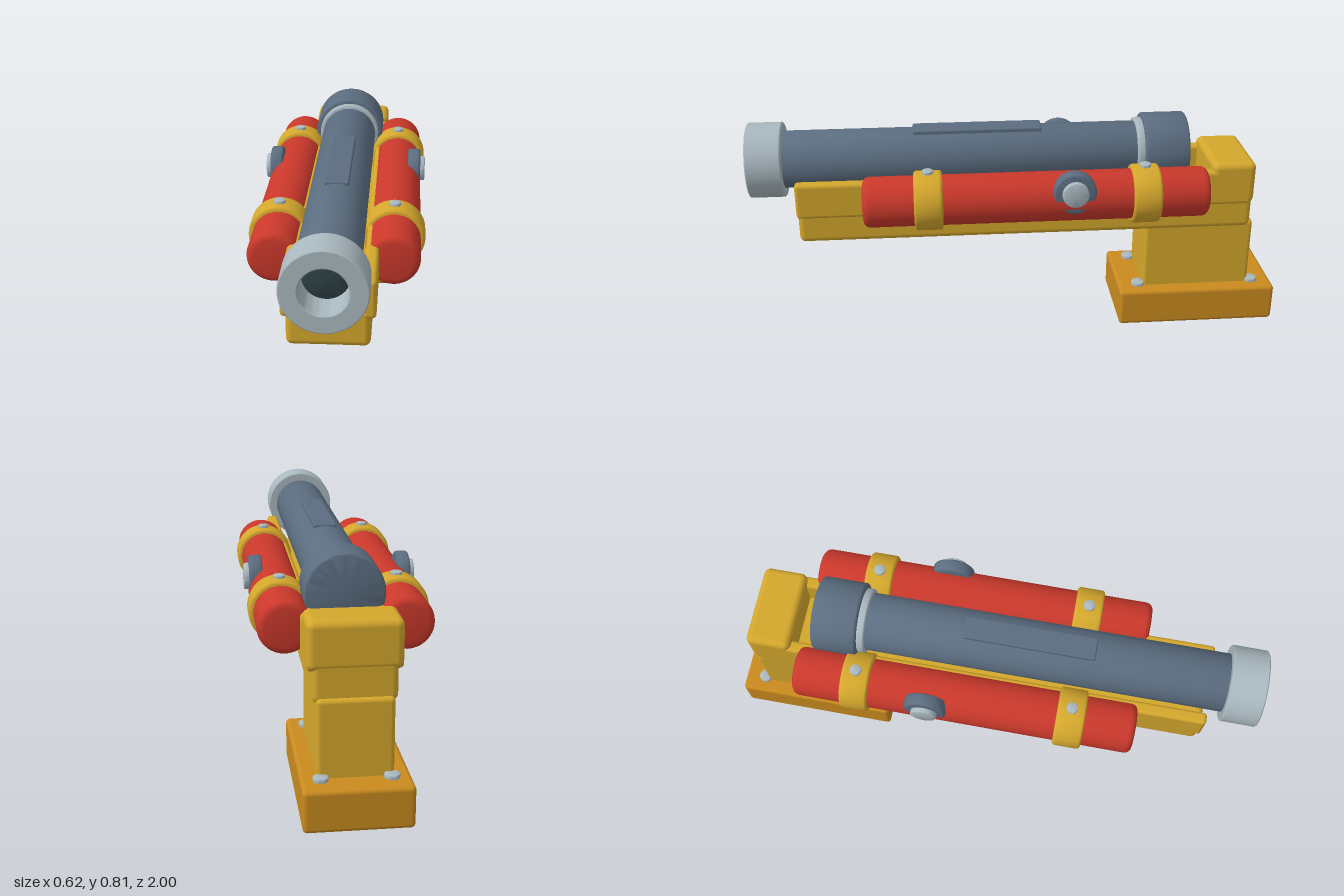
import * as THREE from 'three';
import { toCreasedNormals } from 'three/addons/utils/BufferGeometryUtils.js';
import { RoundedBoxGeometry } from 'three/addons/geometries/RoundedBoxGeometry.js';

const material = (name, color) => {
  const m = new THREE.MeshStandardMaterial({ color });
  m.name = name;
  return m;
};

export function createModel() {
  const yellow = material('yellow paint', 0xd4a72c);
  const orange = material('orange paint', 0xc98a1e);
  const red = material('red paint', 0xca382b);
  const steel = material('blue steel', 0x5b6d80);
  const silver = material('light metal', 0xa9b8bf);
  const dark = material('dark bore', 0x2f4347);

  const model = new THREE.Group();
  model.name = 'cannon';

  const add = (name, geometry, mat, x = 0, y = 0, z = 0) => {
    const mesh = new THREE.Mesh(geometry, mat);
    mesh.name = name;
    mesh.position.set(x, y, z);
    model.add(mesh);
    return mesh;
  };

  // Rounded box given by its limits on each axis
  const block = (name, mat, [x0, x1], [y0, y1], [z0, z1], radius) =>
    add(name, new RoundedBoxGeometry(x1 - x0, y1 - y0, z1 - z0, 3, radius), mat,
      (x0 + x1) / 2, (y0 + y1) / 2, (z0 + z1) / 2);

  const lathe = (points, segments = 48) =>
    toCreasedNormals(new THREE.LatheGeometry(points.map(([r, h]) => new THREE.Vector2(r, h)), segments), 0.6);

  // Solid round part from height 0 to h with rounded rims
  const round = (r, h, bevel, segments) => {
    const points = [[0, 0]];
    for (let i = 0; i <= 4; i++) {
      const a = (i / 4) * Math.PI / 2;
      points.push([r - bevel + bevel * Math.sin(a), bevel - bevel * Math.cos(a)]);
    }
    for (let i = 0; i <= 4; i++) {
      const a = (i / 4) * Math.PI / 2;
      points.push([r - bevel + bevel * Math.cos(a), h - bevel + bevel * Math.sin(a)]);
    }
    points.push([0, h]);
    return lathe(points, segments);
  };

  // Round part lying along z
  const along = (name, mat, r, x, y, z0, z1, bevel) =>
    add(name, round(r, z1 - z0, bevel).rotateX(Math.PI / 2), mat, x, y, z0);

  // Foot, pillar and bed
  block('base', orange, [-0.18, 0.18], [0, 0.145], [-1, -0.39], 0.015);
  block('pillar', yellow, [-0.126, 0.126], [0.13, 0.41], [-0.905, -0.485], 0.015);
  block('bed', yellow, [-0.138, 0.138], [0.39, 0.53], [-0.89, 0.825], 0.022);
  block('rearBlock', yellow, [-0.155, 0.155], [0.495, 0.662], [-0.892, -0.725], 0.025);

  // Barrel, breech and muzzle
  const axisY = 0.675;
  along('barrel', steel, 0.107, 0, axisY, -0.5, 0.88, 0.004);
  along('breechRing', silver, 0.12, 0, axisY, -0.48, -0.445, 0.006);
  along('breech', steel, 0.137, 0, axisY, -0.64, -0.472, 0.01);
  block('barrelPlate', steel, [-0.043, 0.043], [0.755, 0.788], [-0.09, 0.39], 0.006);
  add('muzzle', lathe([
    [0.078, 0], [0.136, 0], [0.14, 0.004], [0.14, 0.126], [0.136, 0.13],
    [0.082, 0.13], [0.078, 0.126], [0.078, 0],
  ], 64).rotateX(Math.PI / 2), silver, 0, axisY, 0.87);
  along('bore', dark, 0.077, 0, axisY, 0.87, 0.89, 0.002);

  for (const side of [-1, 1]) {
    const tubeX = side * 0.203, tubeY = 0.58;

    // Side rail
    block('rail', yellow, [side * 0.1325 - 0.0225, side * 0.1325 + 0.0225], [0.495, 0.632], [-0.88, 0.828], 0.014);

    // Red side tube with its clamps
    along('sideTube', red, 0.0925, tubeX, tubeY, -0.69, 0.577, 0.025);
    for (const z of [0.34, -0.455]) {
      along('clamp', yellow, 0.109, tubeX, tubeY, z - 0.052, z + 0.052, 0.012);
      add('clampBolt', round(0.021, 0.025, 0.004, 24), silver, tubeX, 0.674, z);
    }

    // Side knob
    const turn = -side * Math.PI / 2;
    add('knobCollar', round(0.079, 0.048, 0.01).rotateZ(turn), steel, side * 0.246, 0.622, -0.188);
    add('knobCap', round(0.048, 0.04, 0.006).rotateZ(turn), silver, side * 0.272, 0.625, -0.188);

    // Base bolts
    for (const z of [-0.918, -0.468]) {
      add('baseBolt', round(0.026, 0.028, 0.004, 24), silver, side * 0.115, 0.131, z);
    }
  }
  return model;
}
